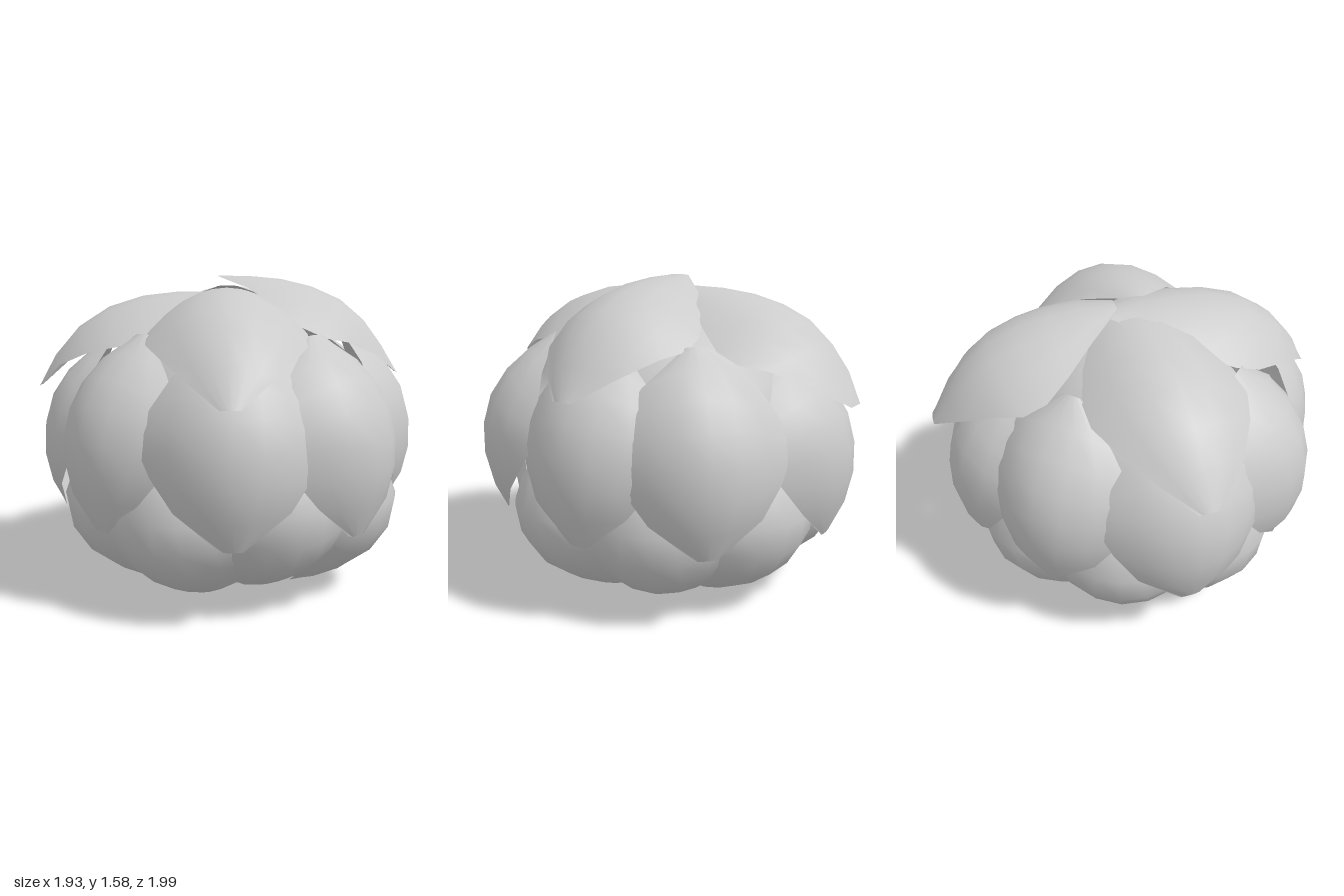
import * as THREE from 'three';

const ROWS = 7, COLS = 6;

// One cupped petal: follows an in-plane profile of [radius, height], swells in the
// middle (a lower taper gives fuller ends), and its side edges bend inward.
function petalGeometry(profile, { halfWidth, taper, cup }) {
  const curve = new THREE.CatmullRomCurve3(profile.map(([r, y]) => new THREE.Vector3(0, y, r)));
  const positions = [], index = [];
  for (let i = 0; i <= ROWS; i++) {
    const t = i / ROWS;
    const p = curve.getPointAt(t), d = curve.getTangentAt(t);
    const w = 0.05 + (halfWidth - 0.05) * Math.pow(Math.max(0, Math.sin(Math.PI * t)), taper);
    for (let j = 0; j <= COLS; j++) {
      const s = w * (2 * j / COLS - 1);
      const drop = cup * s * s;
      positions.push(s, p.y + d.z * drop, p.z - d.y * drop);
      if (i < ROWS && j < COLS) {
        const a = i * (COLS + 1) + j, b = a + COLS + 1;
        index.push(a, a + 1, b, a + 1, b + 1, b);
      }
    }
  }
  const geometry = new THREE.BufferGeometry();
  geometry.setAttribute('position', new THREE.Float32BufferAttribute(positions, 3));
  geometry.setIndex(index);
  geometry.computeVertexNormals();
  return geometry;
}

// Each layer: profile from its low end to its high end, then one entry per petal
// of [angle in degrees, radial shift, height shift].
const LAYERS = [
  {
    name: 'bottomPetal', halfWidth: 0.4, taper: 0.65, cup: 1.35,
    profile: [[0.35, 0], [0.56, 0.08], [0.74, 0.19], [0.85, 0.34], [0.88, 0.5], [0.83, 0.64], [0.74, 0.78]],
    petals: [
      [22, 0, 0.04], [67, 0.02, 0], [113, 0, 0.01], [158, -0.02, 0],
      [202, 0, 0.03], [247, -0.03, 0.01], [293, -0.02, 0], [337, 0, 0],
    ],
  },
  {
    name: 'middlePetal', halfWidth: 0.41, taper: 0.68, cup: 1.45,
    profile: [[0.86, 0.41], [0.93, 0.56], [0.965, 0.76], [0.925, 0.98], [0.79, 1.17], [0.58, 1.31]],
    petals: [
      [1, 0.035, 0], [42, 0.03, 0], [90, 0, 0.01], [130, 0.02, 0],
      [180, 0, -0.04], [221, -0.05, 0], [270, -0.005, -0.03], [315, -0.02, 0],
    ],
  },
  {
    name: 'topPetal', halfWidth: 0.39, taper: 0.9, cup: 1.35,
    profile: [[0.95, 1.05], [0.86, 1.2], [0.71, 1.38], [0.52, 1.48], [0.3, 1.53], [0.03, 1.54]],
    petals: [[87, -0.07, 0.04], [176, 0.05, -0.01]],
  },
  // These two run past the middle and tuck under the other pair
  {
    name: 'tuckedTopPetal', halfWidth: 0.385, taper: 0.85, cup: 1.35,
    profile: [[0.96, 1.04], [0.88, 1.19], [0.73, 1.36], [0.53, 1.47], [0.3, 1.515], [0.05, 1.52], [-0.14, 1.5]],
    petals: [[0, 0, 0], [271, 0.01, -0.02]],
  },
];

export function createModel() {
  const model = new THREE.Group();
  model.name = 'petalBall';
  const material = new THREE.MeshStandardMaterial({ color: 0xcccccc, side: THREE.DoubleSide });
  for (const layer of LAYERS) {
    const group = new THREE.Group();
    group.name = layer.name + 's';
    for (const [angle, dr, dy] of layer.petals) {
      const shifted = layer.profile.map(([r, y]) => [r + dr, y + dy]);
      const petal = new THREE.Mesh(petalGeometry(shifted, layer), material);
      petal.name = layer.name;
      petal.rotation.y = THREE.MathUtils.degToRad(angle);
      group.add(petal);
    }
    model.add(group);
  }

  // Hidden heart that closes the gaps between the petals
  const core = new THREE.Mesh(new THREE.SphereGeometry(0.62, 16, 12), material);
  core.name = 'core';
  core.scale.y = 0.97;
  core.position.y = 0.77;
  model.add(core);
  return model;
}
